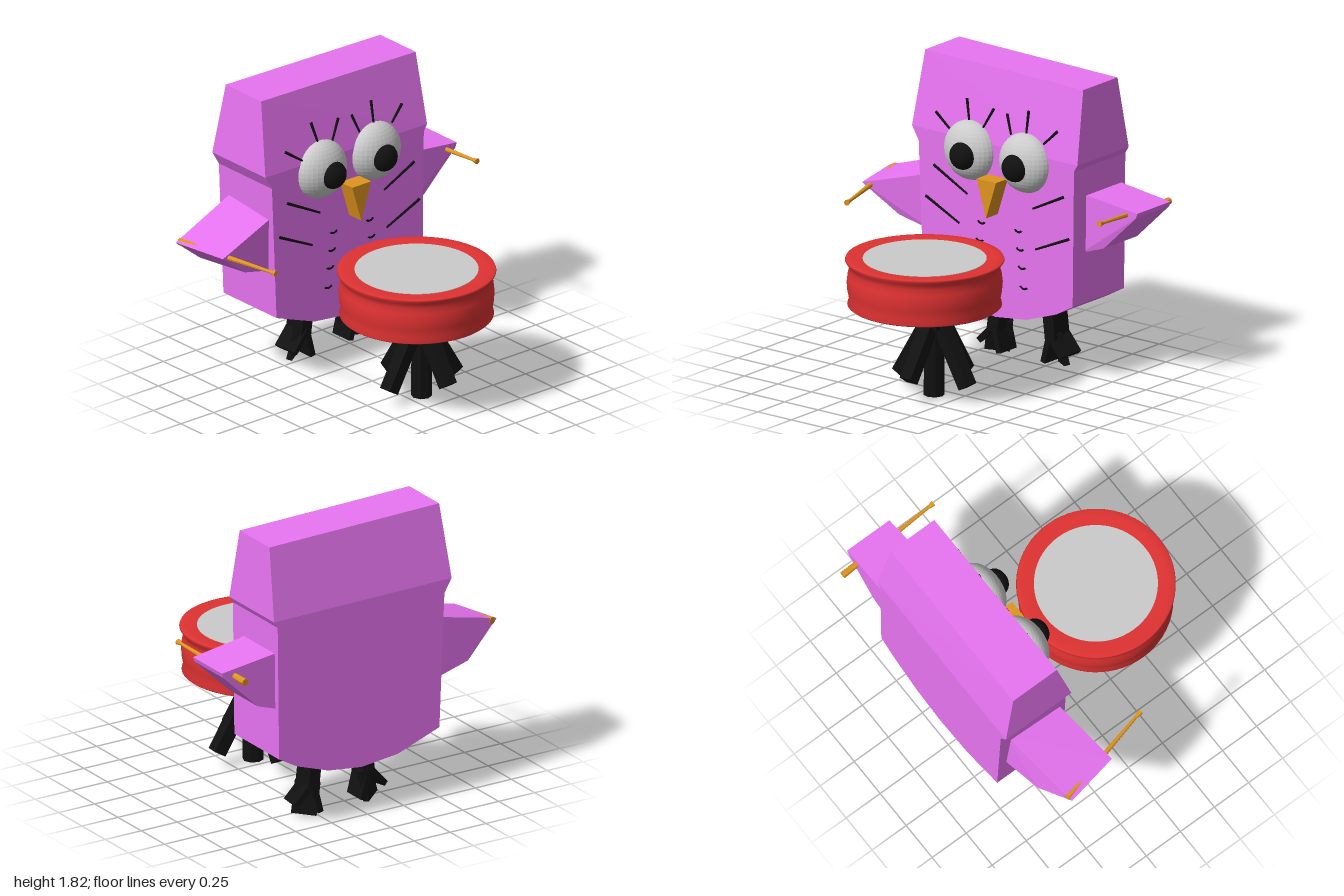
import * as THREE from 'three';
import { ConvexGeometry } from 'three/addons/geometries/ConvexGeometry.js';

const mat = (color, flatShading = false, side = THREE.FrontSide) =>
  new THREE.MeshStandardMaterial({ color, flatShading, side });
const V = (p) => new THREE.Vector3(...p);

export function createModel() {
  const group = new THREE.Group();
  const pink = mat(0xe874f2, true);
  const black = mat(0x111111, true);
  const orange = mat(0xe0951f, true);
  const red = mat(0xe03232, false, THREE.DoubleSide);
  const grey = mat(0xcccccc);
  const eyeGrey = mat(0xcccccc, true);

  const add = (name, geometry, material, pos = [0, 0, 0], scale = [1, 1, 1]) => {
    const mesh = new THREE.Mesh(geometry, material);
    mesh.name = name;
    mesh.position.set(...pos);
    mesh.scale.set(...scale);
    group.add(mesh);
    return mesh;
  };
  const hull = (name, points, material) => add(name, new ConvexGeometry(points.map(V)), material);
  // A part whose length runs from point a to point b
  const span = (name, a, b, makeGeometry, material) => {
    const d = V(b).sub(V(a));
    const mesh = add(name, makeGeometry(d.length()), material);
    mesh.position.copy(V(a)).addScaledVector(d, 0.5);
    mesh.quaternion.setFromUnitVectors(new THREE.Vector3(0, 1, 0), d.normalize());
    return mesh;
  };
  const bar = (name, a, b, w, t) => span(name, a, b, (l) => new THREE.BoxGeometry(w, l, t), black);
  const rod = (name, a, b, r0, r1, material) =>
    span(name, a, b, (l) => new THREE.CylinderGeometry(r1, r0, l, 8), material);

  // Body: rows of [z, y, half thickness], seen from the face side
  const bodyX = -0.525;
  const slab = (rows) => rows.flatMap(([z, y, h]) => [[bodyX - h, y, z], [bodyX + h, y, z]]);
  hull('head', slab([
    [0.54, 1.82, 0.16], [-0.64, 1.8, 0.16], [0.575, 1.37, 0.24], [-0.66, 1.36, 0.24],
    [0.525, 1.285, 0.24], [-0.635, 1.32, 0.24],
  ]), pink);
  hull('body', slab([
    [0.525, 1.29, 0.24], [-0.635, 1.33, 0.24], [0.49, 0.45, 0.24], [-0.625, 0.49, 0.24],
    [-0.5, 0.42, 0.24], [-0.28, 0.345, 0.24], [-0.05, 0.318, 0.24], [0.2, 0.345, 0.24],
  ]), pink);

  // Wings: wedges with a root, an elbow and a tip edge
  hull('leftWing', [
    [-0.69, 1.12, 0.48], [-0.33, 1.08, 0.48], [-0.71, 0.73, 0.48], [-0.35, 0.73, 0.48],
    [-0.67, 0.78, 0.75], [-0.32, 0.79, 0.7], [-0.6, 0.97, 0.995], [-0.255, 0.96, 0.925],
  ], pink);
  hull('rightWing', [
    [-0.73, 1.15, -0.6], [-0.4, 1.15, -0.6], [-0.73, 0.79, -0.6], [-0.4, 0.79, -0.6],
    [-0.73, 0.84, -0.75], [-0.42, 0.84, -0.75], [-0.73, 1.1, -1], [-0.42, 1.1, -1],
    [-0.73, 1.07, -0.99], [-0.42, 1.07, -0.99],
  ], pink);

  // Drumsticks with a small knob at the tip
  for (const [name, a, b] of [
    ['leftDrumstick', [-0.61, 0.965, 0.96], [0.06, 0.936, 0.787]],
    ['rightDrumstick', [-0.835, 1.06, -0.905], [-0.15, 1.09, -0.93]],
  ]) {
    rod(name, a, b, 0.022, 0.009, orange);
    const knobStart = V(a).lerp(V(b), 0.94).toArray();
    rod(name + 'Knob', knobStart, b, 0.01, 0.018, orange);
  }

  // Eyes and pupils
  for (const [side, z, pupilZ] of [['left', 0.145, 0.128], ['right', -0.267, -0.262]]) {
    add(side + 'Eye', new THREE.SphereGeometry(1, 32, 20), eyeGrey, [-0.3, 1.3, z], [0.12, 0.18, 0.18]);
    add(side + 'Pupil', new THREE.SphereGeometry(1, 24, 16), mat(0x111111),
      [-0.197, 1.29, pupilZ], [0.067, 0.083, 0.083]);
  }

  // Beak: triangular prism
  hull('beak', [-0.3, -0.175].flatMap((x) => [[x, 1.18, 0.005], [x, 1.18, -0.14], [x, 0.95, -0.065]]), orange);

  // Lashes and whiskers lying on the face: [z, y] outer end to [z, y] inner end
  const faceX = (y) => -0.283 - Math.max(0, y - 1.37) * 0.178;
  const stroke = (name, [z0, y0, z1, y1], r) =>
    rod(name, [faceX(y0), y0, z0], [faceX(y1), y1, z1], r, r * 0.7, black);
  [
    [0.41, 1.48, 0.28, 1.39], [0.195, 1.6, 0.16, 1.47], [-0.01, 1.575, 0.055, 1.45],
    [-0.11, 1.565, -0.155, 1.45], [-0.265, 1.61, -0.265, 1.47], [-0.49, 1.53, -0.4, 1.44],
  ].forEach((s) => stroke('eyelash', s, 0.009));
  [
    [0.41, 1.16, 0.16, 1.03], [0.47, 0.96, 0.22, 0.84],
    [-0.56, 1.15, -0.33, 1.035], [-0.6, 0.9, -0.35, 0.79],
  ].forEach((s) => stroke('whisker', s, 0.009));

  // Two columns of small curved feather marks on the chest
  for (const y of [0.87, 0.76, 0.65, 0.53]) {
    const drift = (0.87 - y) * 0.12;
    for (const z of [0.055 + drift, -0.22 - drift]) {
      const mark = add('featherMark', new THREE.TorusGeometry(0.03, 0.007, 5, 8, 2), black, [-0.284, y + 0.03, z]);
      mark.rotation.set(0, Math.PI / 2, 0);
      mark.geometry.rotateZ(-Math.PI / 2 - 1);
    }
  }

  // Feet: a stump with three splayed toes, mirrored about the body's middle
  for (const [side, s, x] of [['left', 1, -0.53], ['right', -1, -0.555]]) {
    const p = (z, y, dx = 0) => [x + dx, y, -0.09 + s * z];
    bar(side + 'Leg', p(0.18, 0.38), p(0.205, 0.17), 0.14, 0.075);
    for (const [z, y, dx] of [[0.31, 0.09, 0.01], [0.24, 0.02, -0.02], [0.155, 0.03, 0]]) {
      bar(side + 'Toe', p(0.2, 0.21), p(z, y, dx), 0.15, 0.035);
    }
  }

  // Drum shell and its two skins
  const profile = [
    [0.36, 0.548], [0.44, 0.546], [0.452, 0.555], [0.442, 0.59], [0.452, 0.64], [0.456, 0.69],
    [0.45, 0.74], [0.44, 0.775], [0.452, 0.805], [0.466, 0.825], [0.462, 0.835], [0.42, 0.836], [0.355, 0.83],
  ].map(([r, y]) => new THREE.Vector2(r, y));
  add('drumShell', new THREE.LatheGeometry(profile, 64), red, [0.36, 0, -0.035]);
  add('drumSkins', new THREE.CylinderGeometry(0.362, 0.375, 0.288, 64), grey, [0.36, 0.69, -0.035]);

  // Drum stand: a post with four splayed legs
  const post = [0.34, -0.09];
  bar('standHub', [post[0] - 0.01, 0.55, post[1]], [post[0] - 0.01, 0.42, post[1]], 0.15, 0.14);
  rod('standPost', [post[0], 0.005, post[1]], [post[0], 0.5, post[1]], 0.062, 0.058, black);
  for (const [dx, dz, y] of [[-0.29, 0, 0.09], [0.24, 0, 0.145], [0, 0.25, 0.1], [0, -0.25, 0.1]]) {
    bar('standLeg', [post[0] - 0.01 + dx * 0.1, 0.48, post[1] + dz * 0.1], [post[0] + dx, y, post[1] + dz], 0.08, 0.08);
  }

  return group;
}
